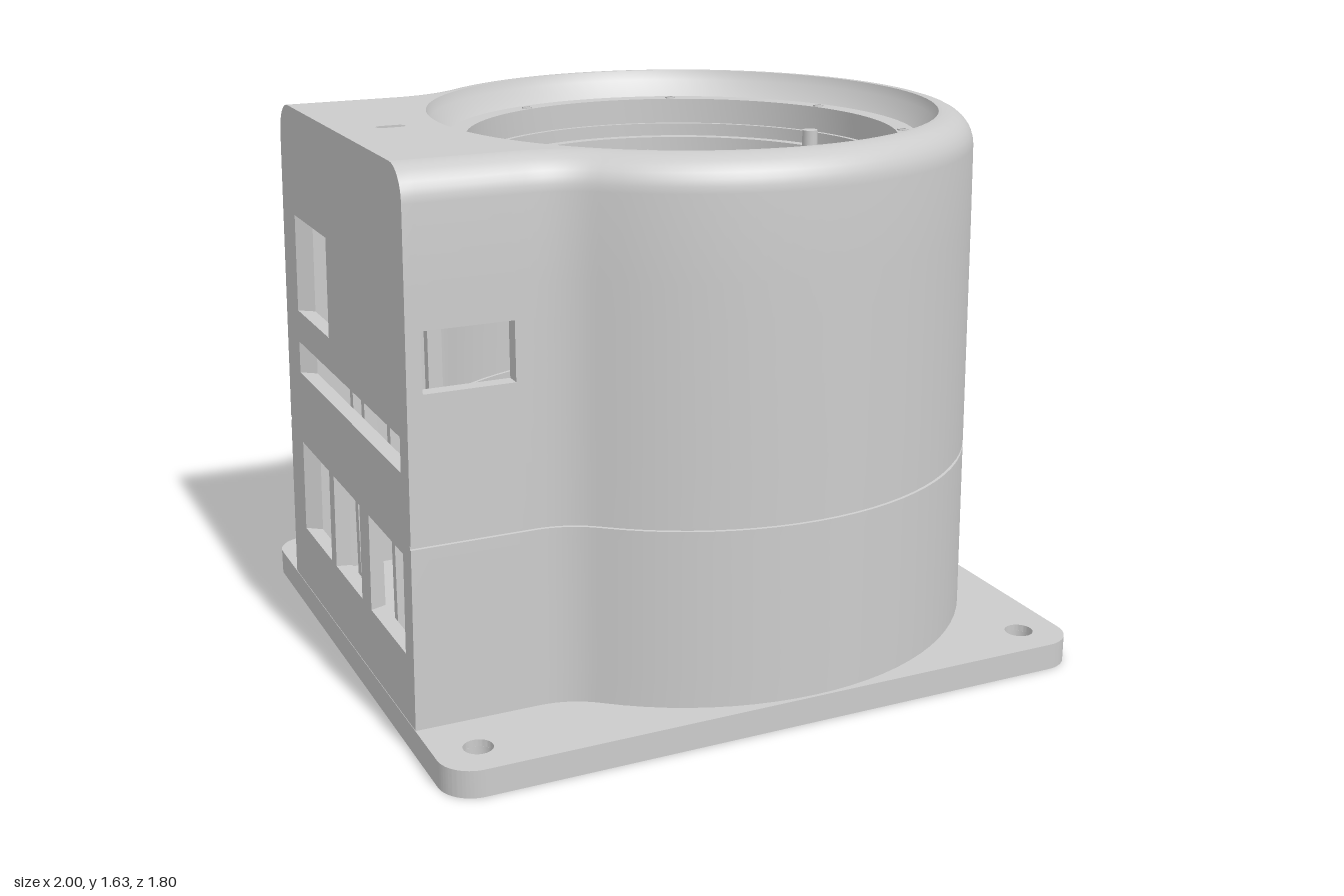
import * as THREE from 'three';
import { toCreasedNormals } from 'three/addons/utils/BufferGeometryUtils.js';

const mat = new THREE.MeshStandardMaterial({ color: 0xcccccc });
const thin = new THREE.MeshStandardMaterial({ color: 0xcccccc, side: THREE.DoubleSide });
const RAD = Math.PI / 180, CX = 0.1, R = 0.89, ARM = 0.62, FILLET = 0.25, TOP = 1.63;
const FX = CX - Math.sqrt((R + FILLET) ** 2 - (ARM + FILLET) ** 2);
const JOIN = Math.atan2(ARM + FILLET, FX - CX) / RAD;
const taper = y => 0.02 * y / TOP;

export function createModel() {
  const model = new THREE.Group();
  const add = (name, geo, x = 0, y = 0, z = 0, m = mat) => {
    const mesh = new THREE.Mesh(geo, m);
    mesh.name = name;
    mesh.position.set(x, y, z);
    model.add(mesh);
    return mesh;
  };
  const box = (name, x0, x1, y0, y1, z0, z1) => add(name, new THREE.BoxGeometry(x1 - x0, y1 - y0, z1 - z0),
    (x0 + x1) / 2, (y0 + y1) / 2, (z0 + z1) / 2);
  const circle = (x, z, r) => new THREE.Path().absarc(x, -z, r, 0, Math.PI * 2, true);
  // horizontal slab from a shape drawn in (x, -z)
  const slab = (name, shape, y0, y1) => add(name, toCreasedNormals(
    new THREE.ExtrudeGeometry(shape, { depth: y1 - y0, bevelEnabled: false, curveSegments: 24 }).rotateX(-Math.PI / 2), 0.6), 0, y0, 0);
  const lathe = (name, pts, x, z, seg = 96) => add(name, toCreasedNormals(
    new THREE.LatheGeometry(pts.map(p => new THREE.Vector2(...p)), seg), 0.5), x, 0, z, thin);
  const ring = (name, x, z, r0, r1, y0, y1, seg = 24) =>
    lathe(name, [[r0, y0], [r1, y0], [r1, y1], [r0, y1], [r0, y0]], x, z, seg);

  // ---- keyhole outline: every column gives a point for an inset d and left face position xl
  const cols = [];
  const put = (kind, v, at) => cols.push({ kind, v, at });
  for (const z of [-ARM, -0.48, -0.18, -0.13, 0.14, 0.23, 0.55, ARM])
    put('face', z, (d, xl) => [xl, z * (ARM - d) / ARM]);
  const side = s => {
    const list = [];
    for (const x of [-0.94, -0.68, FX]) list.push(['arm' + s, x, d => [x, s * (ARM - d)]]);
    for (let k = 1; k < 8; k++) {
      const a = (-90 + (JOIN - 90) * k / 8) * RAD;
      list.push(['fillet' + s, k, d => [FX + (FILLET + d) * Math.cos(a), s * (ARM + FILLET + (FILLET + d) * Math.sin(a))]]);
    }
    return list;
  };
  side(1).forEach(c => { if (c[0][0] === 'f') c[2] = c[2]; put(...c); });
  const angles = [JOIN, -JOIN, 8.4, 8.39, -8.39, -8.4, -52.8, -108.5, -109.6, -129.2];
  for (let a = -126; a <= 126; a += 4) angles.push(a);
  angles.sort((a, b) => b - a).forEach(a =>
    put('arc', a, d => [CX + (R - d) * Math.cos(a * RAD), (R - d) * Math.sin(a * RAD)]));
  side(-1).reverse().forEach(c => put(...c));

  // ---- hollow wall with window openings [kind, from, to, y0, y1]
  const windows = [
    ['face', -0.48, -0.13, 1.0, 1.3], ['face', -0.48, 0.55, 0.8, 0.9],
    ['face', -0.48, -0.18, 0.28, 0.57], ['face', -0.13, 0.14, 0.28, 0.57], ['face', 0.23, 0.55, 0.28, 0.57],
    ['arm1', -0.94, -0.68, 1.03, 1.2], ['arc', -8.395, 8.395, 0, 0.27],
    ['arc', -108.5, -52.8, 0.24, 0.42], ['arc', -129.2, -109.6, 0.18, 0.48]];
  const rows = [0.07, 0.18, 0.24, 0.27, 0.28, 0.42, 0.48, 0.57, 0.604, 0.605, 0.614, 0.615, 0.8, 0.9, 1.0, 1.03, 1.2, 1.3]
    .map(y => [y, taper(y) + (y === 0.605 || y === 0.614 ? 0.008 : 0)]);
  const ROUND = 0.095;
  for (let k = 0; k <= 8; k++) {
    const a = k / 8 * Math.PI / 2;
    rows.push([TOP - ROUND + ROUND * Math.sin(a), 0.02 + ROUND * (1 - Math.cos(a))]);
  }
  const n = cols.length, m = rows.length - 1, pos = [];
  const P = (i, j, inner) => {
    const [y, d] = rows[j], t = inner ? 0.045 : 0;
    const [x, z] = cols[i % n].at(d + t, -1 + 1.25 * taper(y) + t);
    return [x, inner ? Math.min(y, TOP - 0.04) : y, z];
  };
  const quad = (a, b, c, d) => pos.push(...a, ...b, ...c, ...a, ...c, ...d);
  const open = (i, j) => {
    if (j < 0 || j >= m) return false;
    const a = cols[(i + n) % n], b = cols[(i + 1) % n], y = (rows[j][0] + rows[j + 1][0]) / 2, v = (a.v + b.v) / 2;
    return a.kind === b.kind && windows.some(w => w[0] === a.kind && v > w[1] && v < w[2] && y > w[3] && y < w[4]);
  };
  for (let i = 0; i < n; i++) for (let j = 0; j < m; j++) {
    if (open(i, j)) continue;
    const [a, b, c, d] = [P(i, j), P(i + 1, j), P(i + 1, j + 1), P(i, j + 1)];
    const [e, f, g, h] = [P(i, j, 1), P(i + 1, j, 1), P(i + 1, j + 1, 1), P(i, j + 1, 1)];
    quad(a, b, c, d);
    quad(f, e, h, g);
    if (open(i + 1, j)) quad(b, f, g, c);
    if (open(i - 1, j)) quad(e, a, d, h);
    if (open(i, j + 1)) quad(d, c, g, h);
    if (open(i, j - 1)) quad(e, f, b, a);
  }
  const wall = new THREE.BufferGeometry();
  wall.setAttribute('position', new THREE.Float32BufferAttribute(pos, 3));
  add('housingWall', toCreasedNormals(wall, 0.5));

  // wall patch with a round socket hole, bent onto the cylinder
  const edge = [];
  const half = 9.8 * RAD * 0.87;
  for (let k = 0; k <= 8; k++) edge.push(new THREE.Vector2(-half + half * k / 4, 0.18));
  for (let k = 8; k >= 0; k--) edge.push(new THREE.Vector2(-half + half * k / 4, 0.48));
  const patch = new THREE.Shape(edge);
  patch.holes.push(circle(0, -0.33, 0.125));
  const bent = new THREE.ExtrudeGeometry(patch, { depth: 0.05, bevelEnabled: false, curveSegments: 32 });
  const bp = bent.attributes.position;
  for (let i = 0; i < bp.count; i++) {
    const a = -119.4 * RAD - bp.getX(i) / 0.87, r = R - taper(bp.getY(i)) - 0.05 + bp.getZ(i);
    bp.setXYZ(i, CX + r * Math.cos(a), bp.getY(i), r * Math.sin(a));
  }
  add('socketPanel', toCreasedNormals(bent, 0.5));
  const sa = -119.4 * RAD;
  const socket = add('socketTube', new THREE.CylinderGeometry(0.126, 0.126, 0.12, 32, 1, true).rotateX(Math.PI / 2),
    CX + 0.78 * Math.cos(sa), 0.33, 0.78 * Math.sin(sa), thin);
  socket.rotation.y = Math.PI / 2 - sa;

  // ---- top face and stepped well
  const topPts = cols.map(c => c.at(0.02 + ROUND, -0.975)).map(([x, z]) => new THREE.Vector2(x, -z));
  const top = new THREE.Shape(topPts);
  top.holes.push(circle(CX, 0, 0.765));
  const slit = new THREE.Path();
  slit.absarc(-0.785, 0, 0.018, -Math.PI / 2, Math.PI / 2).absarc(-0.835, 0, 0.018, Math.PI / 2, Math.PI * 1.5);
  top.holes.push(slit);
  add('topFace', new THREE.ShapeGeometry(top, 48).rotateX(-Math.PI / 2), 0, TOP, 0, thin);
  lathe('wellSteps', [[0.765, TOP], [0.755, 1.6], [0.71, 1.55], [0.65, 1.55], [0.65, 1.47], [0.635, 1.47], [0.635, 1.43],
    [0.6, 1.43], [0.6, 1.34]], CX, 0);
  for (let k = 0; k < 8; k++) {
    const a = (22.5 + 45 * k) * RAD;
    ring('ledgeScrewHole', CX + 0.672 * Math.cos(a), 0.672 * Math.sin(a), 0.01, 0.017, 1.54, 1.554, 12);
  }
  const floor = new THREE.Shape().absarc(CX, 0, 0.605, 0, Math.PI * 2);
  floor.holes.push(circle(CX, 0, 0.225));
  for (const [x, z] of [[-0.185, -0.4], [0.58, -0.045], [-0.03, 0.47]]) {
    floor.holes.push(circle(x, z, 0.025));
    ring('floorScrewSeat', x, z, 0.025, 0.038, 1.3, 1.366);
  }
  floor.holes.push(new THREE.Path([[-0.33, -0.12], [-0.33, 0.12], [-0.2, 0.12], [-0.2, -0.12]].map(p => new THREE.Vector2(...p))));
  slab('wellFloor', floor, 1.3, 1.36);
  ring('hubTube', CX, 0, 0.225, 0.24, 1.16, 1.365, 64);
  for (const s of [-1, 1]) {
    ring('hubScrewBoss', 0.26, s * 0.2, 0.02, 0.042, 1.2, 1.37);
    add('wellPost', new THREE.CylinderGeometry(0.025, 0.025, 0.13, 16), 0.66, 1.42, s * 0.2);
  }
  const block = new THREE.Shape([[0.04, 0.26], [0.16, 0.26], [0.16, 0.37], [0.04, 0.37]].map(p => new THREE.Vector2(...p)));
  block.holes.push(circle(0.1, -0.32, 0.035));
  slab('wellBlock', block, 1.35, 1.43);

  // ---- base plate: thin top skin, rim, corner ribs and a solid centre
  const plateShape = (i, T = THREE.Shape) => {
    const x = 1 - i, z = 0.9 - i, r = 0.1 - i, q = Math.PI / 2, s = new T();
    s.moveTo(x, 0.13 + i).absarc(x - r, z - r, r, 0, q).absarc(r - x, z - r, r, q, 2 * q)
      .absarc(r - x, r - z, r, 2 * q, 3 * q).absarc(x - r, r - z, r, 3 * q, 4 * q);
    s.lineTo(x, -0.13 - i).lineTo(0.78 - i, -0.13 - i).lineTo(0.78 - i, 0.13 + i).lineTo(x, 0.13 + i);
    return s;
  };
  const gridHoles = [];
  for (let i = -2; i <= 2; i++) for (let j = -2; j <= 2; j++) gridHoles.push([CX + i * 0.155, j * 0.155, 0.048]);
  for (const sx of [-1, 1]) for (const sz of [-1, 1]) gridHoles.push([CX + sx * 0.42, sz * 0.42, 0.048]);
  const corners = [-1, 1].flatMap(sx => [-1, 1].map(sz => [sx * 0.875, sz * 0.775, 0.042]));
  const skin = plateShape(0);
  [...gridHoles, ...corners].forEach(h => skin.holes.push(circle(...h)));
  slab('basePlate', skin, 0.055, 0.08);
  const rim = plateShape(0);
  rim.holes.push(plateShape(0.025, THREE.Path));
  slab('baseRim', rim, 0, 0.06);
  const centre = new THREE.Shape(cols.map(c => {
    const [x, z] = c.at(0.04, -0.98);
    return new THREE.Vector2(c.kind === 'arc' && Math.abs(c.v) < 8.395 ? 0.77 : x, -Math.max(z, -0.7));
  }));
  gridHoles.forEach(h => centre.holes.push(circle(...h)));
  slab('baseCentre', centre, 0.002, 0.078);
  gridHoles.forEach(([x, z]) => ring('ventCollar', x, z, 0.048, 0.06, 0.001, 0.09));
  corners.forEach(([x, z]) => ring('cornerBoss', x, z, 0.042, 0.07, 0, 0.06));
  const reach = v => Math.sqrt(Math.max(0, 0.84 ** 2 - v * v));
  for (const s of [-1, 1]) {
    for (let z = 0.24; z < 0.85; z += 0.12) {
      box('baseRib', CX + reach(z), 0.98, 0.005, 0.06, s * z - 0.01, s * z + 0.01);
      if (z > 0.6) box('baseRib', -0.98, CX - reach(z), 0.005, 0.06, s * z - 0.01, s * z + 0.01);
    }
    for (let x = -0.75; x < 0.8; x += 0.125) {
      const z0 = Math.max(reach(x - CX), x < -0.4 ? 0.59 : 0), a = s * z0, b = s * 0.88;
      if (Math.abs(x - CX) > 0.25) box('baseRib', x - 0.01, x + 0.01, 0.005, 0.06, Math.min(a, b), Math.max(a, b));
    }
  }

  // ---- cable notch on the round side
  for (const s of [-1, 1]) box('notchSide', 0.76, 0.95, 0.01, 0.27, s * 0.14 - 0.01, s * 0.14 + 0.01);
  box('notchBack', 0.76, 0.78, 0.01, 0.27, -0.13, 0.13);
  box('notchRoof', 0.76, 0.96, 0.235, 0.268, -0.13, 0.13);

  // ---- recessed slot at the rear
  const recess = new THREE.Shape().absarc(CX, 0, 0.86, 52.8 * RAD, 108.5 * RAD);
  recess.lineTo(-0.17, 0.69).lineTo(0.62, 0.69);
  slab('slotFloor', recess, 0.21, 0.241);
  slab('slotRoof', recess, 0.419, 0.45);
  box('slotBack', -0.19, 0.62, 0.22, 0.44, -0.7, -0.68);
  box('slotEnd', -0.19, -0.165, 0.22, 0.44, -0.81, -0.69);

  // ---- inner pillars behind the port windows
  for (const z of [-0.36, -0.24, 0.02, 0.4]) box('innerPillar', -0.86, -0.82, 0.07, 1.34, z - 0.015, z + 0.015);
  return model;
}
